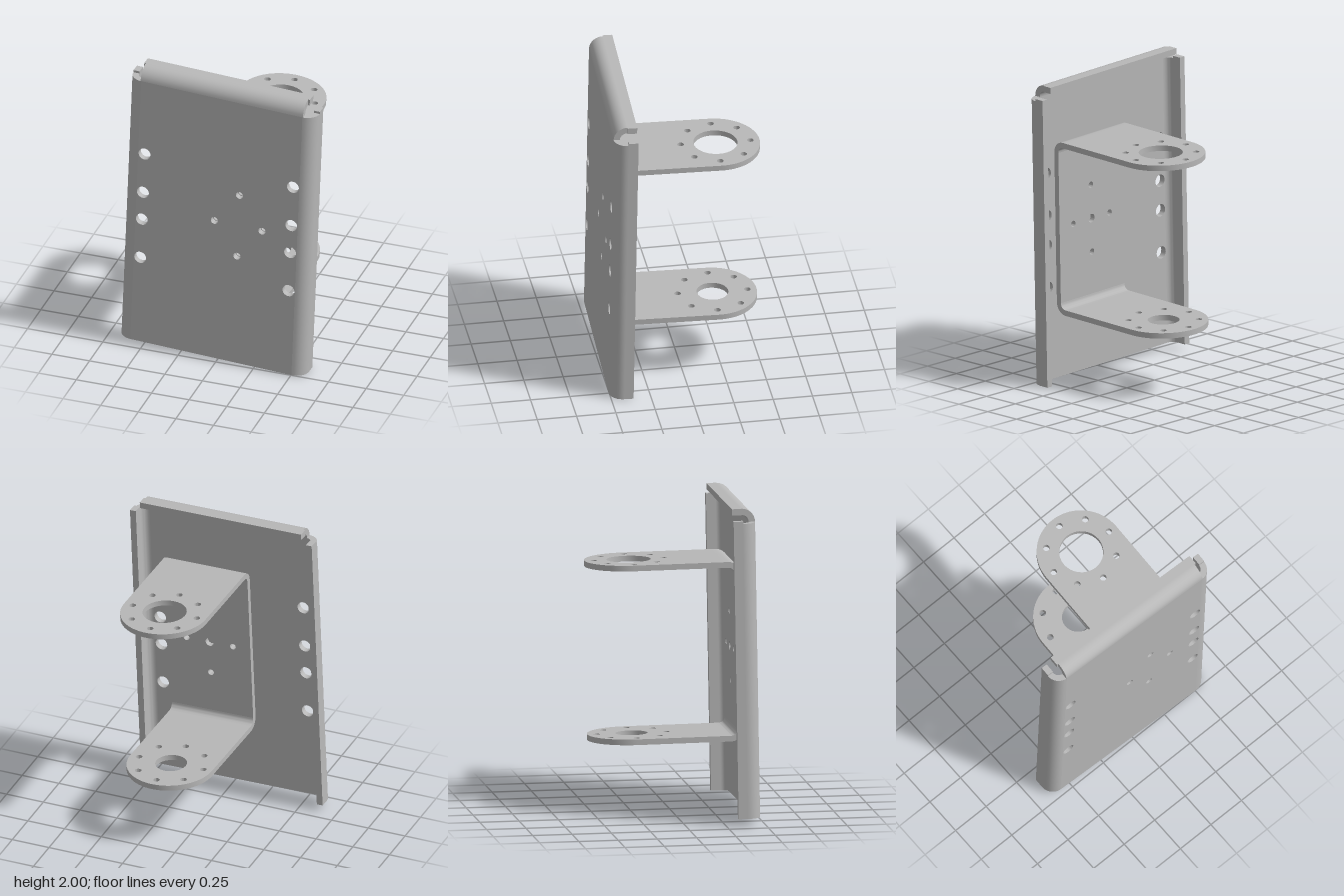
import * as THREE from 'three';
import { toCreasedNormals } from 'three/addons/utils/BufferGeometryUtils.js';

const X = new THREE.Vector3(1, 0, 0), Y = new THREE.Vector3(0, 1, 0), Z = new THREE.Vector3(0, 0, 1);
const ALONG_X = new THREE.Matrix4().makeBasis(Y, Z, X);                  // shape (y, z), extruded along x
const ALONG_Y = new THREE.Matrix4().makeBasis(X, Z, Y.clone().negate()); // shape (x, z), extruded down y

export function createModel() {
  const steel = new THREE.MeshStandardMaterial({ color: 0xb8b8b8 });
  steel.name = 'grey steel';
  const model = new THREE.Group();
  model.name = 'mountingPlate';
  // whole assembly leans slightly
  const body = new THREE.Group();
  body.name = 'assembly';
  body.rotation.set(-0.012, -0.027, -0.035);
  body.position.set(-0.0025, 0.97, 0.48);
  model.add(body);

  function add(name, geometry, x, y, z) {
    const mesh = new THREE.Mesh(geometry, steel);
    mesh.name = name;
    mesh.position.set(x, y, z);
    body.add(mesh);
  }
  function extrude(shape, depth, matrix) {
    const g = new THREE.ExtrudeGeometry(shape, { depth, bevelEnabled: false, curveSegments: 16 });
    if (matrix) g.applyMatrix4(matrix);
    return toCreasedNormals(g, 0.6);
  }
  function drill(shape, x, y, r) {
    shape.holes.push(new THREE.Path().absarc(x, y, r, 0, Math.PI * 2, true));
  }
  function rect(x0, y0, x1, y1) {
    return new THREE.Shape([[x0, y0], [x1, y0], [x1, y1], [x0, y1]].map(p => new THREE.Vector2(...p)));
  }
  // quarter-round sheet bend with a short straight leg; side = +1 or -1
  function bendShape(side, r, t, leg) {
    const pts = [];
    const n = 8;
    for (let i = 0; i <= n; i++) {
      const a = i / n * Math.PI / 2;
      pts.push(new THREE.Vector2(side * r * Math.sin(a), -r + r * Math.cos(a)));
    }
    pts.push(new THREE.Vector2(side * r, -r - leg), new THREE.Vector2(side * (r - t), -r - leg));
    for (let i = n; i >= 0; i--) {
      const a = i / n * Math.PI / 2;
      pts.push(new THREE.Vector2(side * (r - t) * Math.sin(a), -r + (r - t) * Math.cos(a)));
    }
    return new THREE.Shape(pts);
  }

  // folded panel
  const T = 0.04, R = 0.085, D = 0.147;
  const halfW = 0.626, bottom = -0.943, sideTop = 0.943, top = 1.013;
  const flatX = halfW - R, flatTop = top - R;
  const cx = 0.145, cy = 0.045; // bracket centre on the panel
  const boltHoles = [[0, 0.22], [0, -0.22], [0.16, 0], [-0.16, 0]];

  const panel = rect(-flatX, bottom, flatX, flatTop);
  for (const y of [0.41, 0.132, -0.063, -0.34])
    for (const s of [-1, 1]) drill(panel, s * 0.498, y, 0.04);
  for (const [dx, dy] of boltHoles) drill(panel, cx + dx, cy + dy, 0.024);
  add('frontPanel', extrude(panel, T), 0, 0, -T);

  const legDepth = D - R, legZ = -R - legDepth / 2;
  for (const s of [-1, 1]) {
    const side = s > 0 ? 'left' : 'right';
    add(side + 'Bend', extrude(bendShape(s, R, T, 0.002), flatTop - bottom, ALONG_Y), s * flatX, flatTop, 0);
    add(side + 'Flange', new THREE.BoxGeometry(T, sideTop - bottom, legDepth),
      s * (halfW - T / 2), (sideTop + bottom) / 2, legZ);
  }
  add('topBend', extrude(bendShape(1, R, T, 0.002), 1.09, ALONG_X), -0.545, flatTop, 0);
  add('topFlange', new THREE.BoxGeometry(1.112, T, legDepth), 0, top - T / 2, legZ);

  // U-shaped bracket behind the panel
  const t = 0.036, r = 0.075, w = 0.28, halfH = 0.569;
  const webH = halfH - r, leg = 0.03;
  const web = rect(-w, -webH, w, webH);
  for (const [dx, dy] of boltHoles) drill(web, dx, dy, 0.02);
  drill(web, 0, 0, 0.028);
  add('bracketWeb', extrude(web, t), cx, cy, -T - t);

  const startZ = -T - r - leg, eyeZ = -0.707;
  for (const s of [-1, 1]) {
    const level = s > 0 ? 'upper' : 'lower';
    add(level + 'BracketBend', extrude(bendShape(s, r, t, leg), 2 * w, ALONG_X), cx - w, cy + s * webH, -T);
    // round-ended arm with a bore and a ring of bolt holes
    const arm = new THREE.Shape();
    arm.moveTo(w, startZ);
    arm.lineTo(-w, startZ);
    arm.lineTo(-w, eyeZ);
    arm.absarc(0, eyeZ, w, Math.PI, Math.PI * 2, false);
    arm.closePath();
    drill(arm, 0, eyeZ, s > 0 ? 0.139 : 0.1);
    for (let i = 0; i < 8; i++) {
      const a = i * Math.PI / 4;
      drill(arm, 0.221 * Math.cos(a), eyeZ + 0.221 * Math.sin(a), 0.021);
    }
    add(level + 'Arm', extrude(arm, t, ALONG_Y), cx, cy + s * (halfH - t / 2) + t / 2, 0);
  }
  return model;
}
